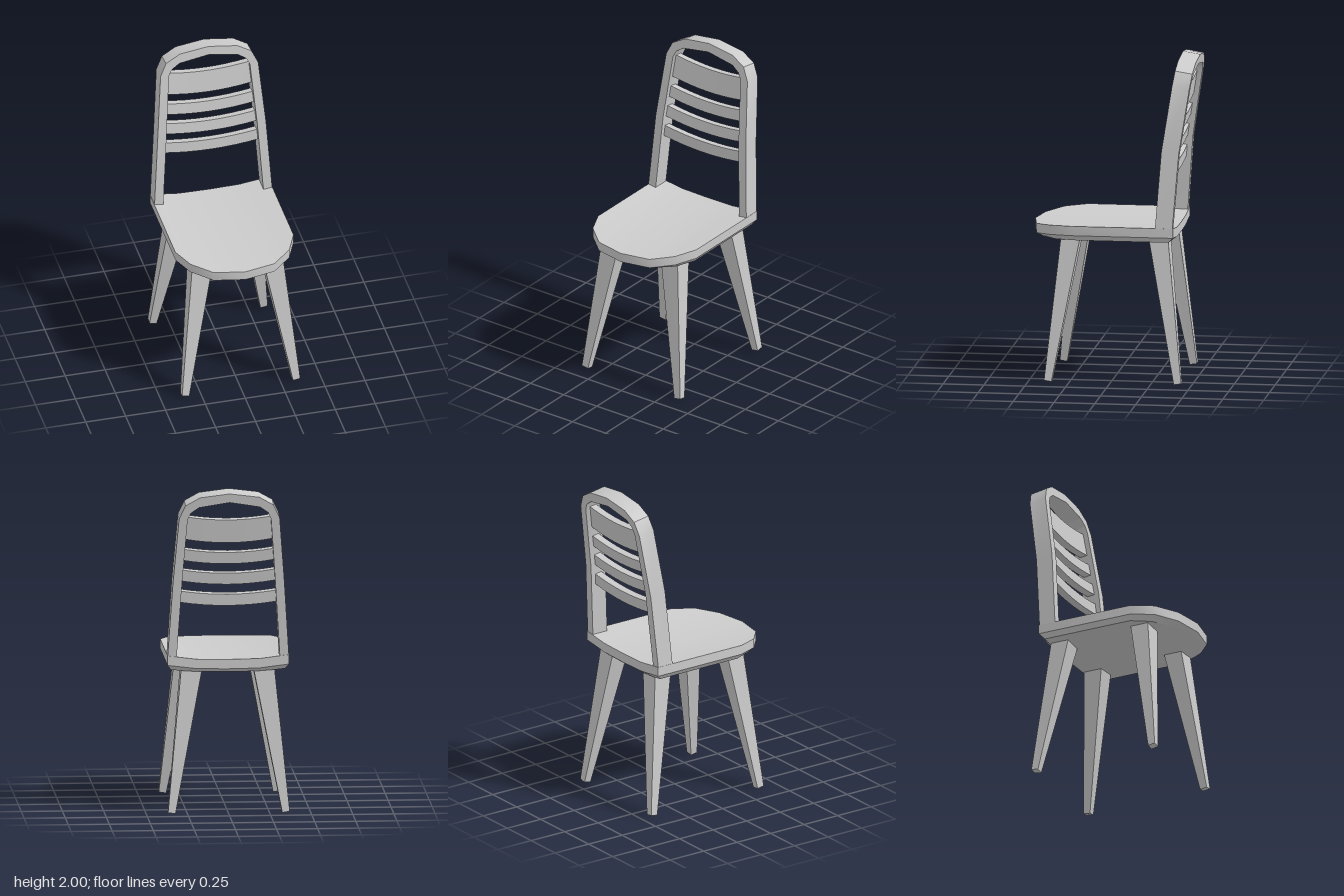
import * as THREE from 'three';
import { toCreasedNormals } from 'three/addons/utils/BufferGeometryUtils.js';

const material = new THREE.MeshStandardMaterial({ color: 0xcccccc });

// Closed solid through equal-sized rings of [x, y, z] points, capped at both ends.
function loft(name, rings, crease = 0.45) {
  const n = rings[0].length;
  const points = rings.flat();
  const tris = [];
  for (let r = 0; r < rings.length - 1; r++) {
    for (let i = 0; i < n; i++) {
      const j = (i + 1) % n;
      const a = r * n + i, b = r * n + j, c = a + n, d = b + n;
      tris.push([a, b, d], [a, d, c]);
    }
  }
  const last = (rings.length - 1) * n;
  for (let i = 1; i < n - 1; i++) {
    tris.push([0, i + 1, i], [last, last + i, last + i + 1]);
  }
  // turn the faces outward
  const v = points.map(p => new THREE.Vector3(...p));
  const centre = v.reduce((s, p) => s.add(p), new THREE.Vector3()).divideScalar(v.length);
  const q = v.map(p => p.clone().sub(centre));
  const volume = tris.reduce((s, [a, b, c]) => s + q[a].dot(q[b].clone().cross(q[c])), 0);
  if (volume < 0) tris.forEach(t => t.reverse());

  const geometry = new THREE.BufferGeometry();
  geometry.setAttribute('position', new THREE.Float32BufferAttribute(points.flat(), 3));
  geometry.setIndex(tris.flat());
  const mesh = new THREE.Mesh(toCreasedNormals(geometry, crease), material);
  mesh.name = name;
  return mesh;
}

// Front face of the leaning backrest at a given height.
function backFront(y) {
  return y < 1.44
    ? THREE.MathUtils.mapLinear(y, 0.97, 1.44, -0.28, -0.315)
    : THREE.MathUtils.mapLinear(y, 1.44, 2.0, -0.315, -0.4);
}

// Dished seat with a rounded front and a chamfered underside, lofted across x.
function makeSeat() {
  // x, front z, top y, inset x, inset front z, bottom y
  const half = [
    [0, 0.505, 0.945, 0, 0.457, 0.864],
    [0.19, 0.47, 0.948, 0.175, 0.425, 0.866],
    [0.31, 0.37, 0.963, 0.287, 0.34, 0.874],
    [0.37, 0.235, 0.97, 0.347, 0.22, 0.88],
  ];
  const ring = ([x, zf, top, xi, zi, bottom], s) => [
    [s * x, top - 0.058, -0.39],
    [s * x, top, -0.39],
    [s * x, top, zf],
    [s * x, top - 0.058, zf],
    [s * xi, bottom, zi],
    [s * xi, bottom, -0.36],
  ];
  const left = half.map(p => ring(p, 1));
  const right = half.slice(1).reverse().map(p => ring(p, -1));
  return loft('seat', [...right, ...left], 0.6);
}

// Posts and arched top in a single swept frame.
function makeBackFrame() {
  // outer x, outer y, inner x, inner y
  const half = [
    [0.37, 0.945, 0.315, 0.945],
    [0.339, 1.44, 0.284, 1.44],
    [0.306, 1.845, 0.254, 1.84],
    [0.268, 1.927, 0.235, 1.88],
    [0.18, 1.977, 0.185, 1.915],
    [0, 2.0, 0, 1.945],
  ];
  const depth = 0.106;
  const ring = ([ox, oy, ix, iy], s) => {
    const drop = oy < 1 ? 0 : 0.017;
    return [
      [s * ox, oy, backFront(oy)],
      [s * ox, oy - drop, backFront(oy) - depth],
      [s * ix, iy - drop, backFront(iy) - depth],
      [s * ix, iy, backFront(iy)],
    ];
  };
  const left = half.map(p => ring(p, 1));
  const right = half.slice(0, -1).reverse().map(p => ring(p, -1));
  return loft('backFrame', [...left, ...right]);
}

// Gently sagging crosspiece between the posts.
function makeSlat(bottom, top) {
  const sag = 0.024, thickness = 0.045, steps = 8;
  const halfWidth = THREE.MathUtils.mapLinear((top + bottom) / 2, 0.97, 1.84, 0.325, 0.264);
  const rings = [];
  for (let i = 0; i <= steps; i++) {
    const t = (i / steps) * 2 - 1;
    const dy = sag * (t * t - 1);
    const zt = backFront(top) - 0.03, zb = backFront(bottom) - 0.03;
    rings.push([
      [t * halfWidth, top + dy, zt],
      [t * halfWidth, top + dy - 0.006, zt - thickness],
      [t * halfWidth, bottom + dy - 0.006, zb - thickness],
      [t * halfWidth, bottom + dy, zb],
    ]);
  }
  return loft('backSlat', rings);
}

// Splayed, tapered leg; z ranges run from the inner to the outer side.
function makeLeg(name, side, [topIn, topOut], [footIn, footOut]) {
  const ring = (xi, xo, zi, zo, y, lift) => [
    [side * xi, y, zi],
    [side * xo, y + lift, zi],
    [side * xo, y + 2 * lift, zo],
    [side * xi, y + lift, zo],
  ];
  return loft(name, [
    ring(0.325, 0.37, footIn, footOut, 0, 0.007),
    ring(0.155, 0.283, topIn, topOut, 0.89, 0),
  ]);
}

export function createModel() {
  const chair = new THREE.Group();
  chair.name = 'chair';
  chair.add(makeSeat(), makeBackFrame());

  for (const [bottom, top] of [[1.305, 1.375], [1.437, 1.507], [1.567, 1.638], [1.7, 1.843]]) {
    chair.add(makeSlat(bottom, top));
  }

  for (const [label, side] of [['Left', 1], ['Right', -1]]) {
    chair.add(makeLeg('front' + label + 'Leg', side, [0.19, 0.308], [0.355, 0.4]));
    chair.add(makeLeg('rear' + label + 'Leg', side, [-0.23, -0.348], [-0.395, -0.44]));
  }
  return chair;
}
